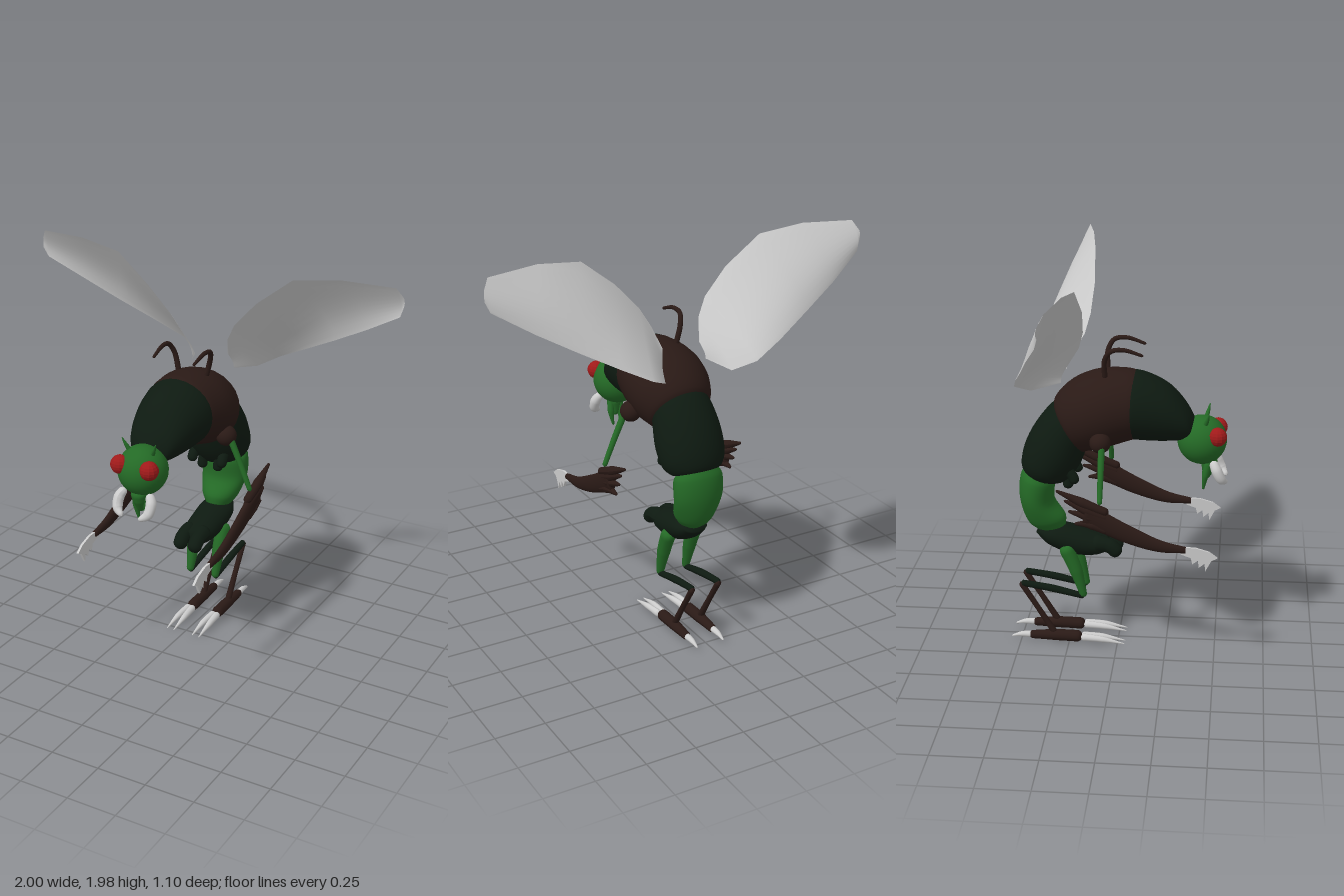
import * as THREE from 'three';

const GREEN = 0x246a26, DARK = 0x0e1a11, BROWN = 0x2a1a16, RED = 0xa01a1a, PALE = 0xcccccc;
const mat = (color, extra = {}) => new THREE.MeshStandardMaterial({ color, ...extra });

function add(parent, name, geometry, color, extra) {
  const mesh = new THREE.Mesh(geometry, mat(color, extra));
  mesh.name = name;
  parent.add(mesh);
  return mesh;
}

// Closed elliptical loft; each ring is [outer z, outer y, inner z, inner y, half width]
function loft(rings, x = 0, steps = 20, sides = 28) {
  const curve = (f) => new THREE.CatmullRomCurve3(rings.map(f));
  const outer = curve((r) => new THREE.Vector3(0, r[1], r[0]));
  const inner = curve((r) => new THREE.Vector3(0, r[3], r[2]));
  const width = curve((r, i) => new THREE.Vector3(r[4], i, 0));
  const pos = [], idx = [];
  for (let i = -1; i <= steps + 1; i++) {
    const t = Math.min(1, Math.max(0, i / steps));
    const o = outer.getPoint(t), n = inner.getPoint(t);
    const k = i < 0 || i > steps ? 0 : 1;
    const c = o.clone().add(n).multiplyScalar(0.5), u = o.sub(n).multiplyScalar(0.5 * k);
    const w = width.getPoint(t).x * k;
    for (let j = 0; j < sides; j++) {
      const a = (j / sides) * Math.PI * 2;
      pos.push(x + w * Math.cos(a), c.y + u.y * Math.sin(a), c.z + u.z * Math.sin(a));
    }
  }
  for (let i = 0; i < steps + 2; i++) {
    for (let j = 0; j < sides; j++) {
      const a = i * sides + j, b = i * sides + ((j + 1) % sides);
      idx.push(a, a + sides, b, b, a + sides, b + sides);
    }
  }
  const g = new THREE.BufferGeometry();
  g.setAttribute('position', new THREE.Float32BufferAttribute(pos, 3));
  g.setIndex(idx);
  g.computeVertexNormals();
  return g;
}

// Round-ended tube through points, its radius running through a list of values
function limb(points, radii, steps = 28, sides = 12) {
  const path = new THREE.CatmullRomCurve3(points.map((p) => new THREE.Vector3(...p)));
  const g = new THREE.TubeGeometry(path, steps, 1, sides, false);
  const p = g.attributes.position, v = new THREE.Vector3(), length = path.getLength();
  for (let i = 0; i <= steps; i++) {
    const t = i / steps, c = path.getPointAt(t);
    const f = t * (radii.length - 1), k = Math.min(Math.floor(f), radii.length - 2);
    const r = THREE.MathUtils.lerp(radii[k], radii[k + 1], f - k);
    const end = Math.min(1, (Math.min(t, 1 - t) * length) / Math.max(r, 1e-4));
    const s = r * Math.sqrt(1 - (1 - end) ** 2);
    for (let j = 0; j <= sides; j++) {
      const n = i * (sides + 1) + j;
      v.fromBufferAttribute(p, n).sub(c).multiplyScalar(s).add(c);
      p.setXYZ(n, v.x, v.y, v.z);
    }
  }
  g.computeVertexNormals();
  return g;
}

const ball = (r, x, y, z, w = 24, h = 18) => new THREE.SphereGeometry(r, w, h).translate(x, y, z);

// Cupped wing: matching points along the upper and lower edges, bowed backwards between
function wing(s) {
  const upper = [[0.1, 1.5, -0.24], [0.13, 1.6, -0.18], [0.18, 1.69, -0.155], [0.3, 1.82, -0.145],
    [0.48, 1.96, -0.16], [0.71, 1.99, -0.19], [0.97, 1.98, -0.235], [1, 1.93, -0.26]];
  const lower = [[0.12, 1.42, -0.27], [0.18, 1.395, -0.41], [0.28, 1.445, -0.475], [0.43, 1.52, -0.445],
    [0.62, 1.62, -0.39], [0.8, 1.72, -0.34], [0.98, 1.83, -0.275], [1, 1.88, -0.26]];
  const across = 10, pos = [], idx = [];
  upper.forEach((a, i) => {
    const b = lower[i], chord = Math.hypot(a[1] - b[1], a[2] - b[2]);
    for (let j = 0; j <= across; j++) {
      const t = j / across, bow = 0.12 * chord * Math.sin(Math.PI * t);
      const [x, y, z] = a.map((q, k) => q + (b[k] - q) * t);
      pos.push(s * (x + bow * 0.4), y - bow * 0.5, z - bow);
    }
  });
  for (let i = 0; i < upper.length - 1; i++) {
    for (let j = 0; j < across; j++) {
      const a = i * (across + 1) + j, c = a + across + 1;
      if (s > 0) idx.push(a, a + 1, c, a + 1, c + 1, c);
      else idx.push(a, c, a + 1, a + 1, c, c + 1);
    }
  }
  const g = new THREE.BufferGeometry();
  g.setAttribute('position', new THREE.Float32BufferAttribute(pos, 3));
  g.setIndex(idx);
  g.computeVertexNormals();
  return g;
}

// Thin toothed claw, drawn in the z-y plane
function blade(x) {
  const outline = [[0.33, 0.665], [0.4, 0.665], [0.47, 0.645], [0.51, 0.615], [0.48, 0.6], [0.452, 0.545],
    [0.447, 0.585], [0.42, 0.562], [0.415, 0.6], [0.388, 0.58], [0.38, 0.612], [0.33, 0.63]];
  const shape = new THREE.Shape(outline.map((p) => new THREE.Vector2(...p)));
  return new THREE.ExtrudeGeometry(shape, { depth: 0.012, bevelEnabled: false })
    .translate(0, 0, -0.006).rotateY(-Math.PI / 2).translate(x, 0, 0);
}

export function createModel() {
  const model = new THREE.Group();
  model.name = 'insect';

  // Curved body, from neck to hips
  add(model, 'frontThorax', loft([[0.385, 1.21, 0.385, 1.14, 0.04], [0.33, 1.3, 0.36, 1.12, 0.11],
    [0.24, 1.395, 0.24, 1.105, 0.155], [0.09, 1.455, 0.08, 1.11, 0.185], [0.02, 1.44, 0.02, 1.12, 0.17]]), DARK);
  add(model, 'thorax', loft([[0.1, 1.45, 0.1, 1.115, 0.175], [0.05, 1.462, 0.05, 1.1, 0.19],
    [-0.1, 1.455, -0.04, 1.07, 0.21], [-0.23, 1.4, -0.11, 1.05, 0.2], [-0.315, 1.31, -0.155, 1.04, 0.165],
    [-0.32, 1.25, -0.17, 1.03, 0.13]]), BROWN);
  add(model, 'upperAbdomen', loft([[-0.28, 1.31, -0.15, 1.08, 0.14], [-0.34, 1.27, -0.16, 1.05, 0.155],
    [-0.43, 1.15, -0.2, 0.95, 0.17], [-0.48, 1.03, -0.26, 0.88, 0.16], [-0.485, 0.95, -0.31, 0.87, 0.125],
    [-0.46, 0.92, -0.34, 0.88, 0.08]]), DARK);
  add(model, 'lowerAbdomen', loft([[-0.47, 0.95, -0.34, 0.9, 0.1], [-0.495, 0.9, -0.325, 0.86, 0.128],
    [-0.5, 0.78, -0.325, 0.76, 0.125], [-0.46, 0.65, -0.27, 0.68, 0.095], [-0.4, 0.6, -0.27, 0.63, 0.06]]), GREEN);
  add(model, 'hips', loft([[-0.42, 0.59, -0.38, 0.63, 0.06], [-0.36, 0.53, -0.31, 0.64, 0.09],
    [-0.24, 0.48, -0.2, 0.62, 0.09], [-0.12, 0.475, -0.11, 0.59, 0.078], [-0.04, 0.5, -0.05, 0.57, 0.05]]), DARK);

  // Head
  const head = new THREE.Group();
  head.name = 'head';
  model.add(head);
  add(head, 'skull', ball(0.123, 0, 1.11, 0.415, 32, 24), GREEN);
  add(head, 'snout', limb([[0, 1.03, 0.46], [0, 0.97, 0.45], [0, 0.9, 0.435]], [0.045, 0.035, 0.012]), GREEN);

  for (const s of [-1, 1]) {
    const side = s > 0 ? 'left' : 'right';
    const part = (name, geometry, color, extra) => add(model, side + name, geometry, color, extra);

    // Face
    part('Eye', ball(0.047, s * 0.08, 1.15, 0.492, 12, 10), RED, { flatShading: true });
    part('Feeler', limb([[s * 0.06, 1.2, 0.43], [s * 0.075, 1.23, 0.44], [s * 0.093, 1.27, 0.45]], [0.013, 0.009, 0.002]), GREEN);
    part('Mandible', limb([[s * 0.065, 1.02, 0.47], [s * 0.088, 0.98, 0.49], [s * 0.083, 0.93, 0.515],
      [s * 0.045, 0.905, 0.54]], [0.02, 0.027, 0.025, 0.01]), PALE);
    part('Palp', limb([[s * 0.02, 1, 0.45], [s * 0.028, 0.93, 0.435], [s * 0.02, 0.85, 0.425]], [0.02, 0.017, 0.005]), GREEN);

    // Wing and back hook
    part('Wing', wing(s), PALE, { side: THREE.DoubleSide });
    part('BackHook', limb([[s * 0.075, 1.43, -0.06], [s * 0.1, 1.53, -0.06], [s * 0.115, 1.58, -0.03],
      [s * 0.115, 1.59, 0.03], [s * 0.11, 1.56, 0.13]], [0.014, 0.013, 0.012, 0.01, 0.007], 40), BROWN);

    // Arm
    part('Shoulder', ball(0.052, s * 0.185, 1.14, -0.075), BROWN);
    part('UpperArm', limb([[s * 0.21, 1.14, -0.065], [s * 0.27, 1.01, -0.065], [s * 0.33, 0.87, -0.065]], [0.017, 0.015, 0.012]), GREEN);
    part('Forearm', loft([[0.355, 0.667, 0.355, 0.635, 0.014], [0.24, 0.695, 0.22, 0.638, 0.019],
      [0.1, 0.76, 0.06, 0.68, 0.022], [-0.02, 0.825, -0.06, 0.73, 0.024], [-0.12, 0.89, -0.15, 0.775, 0.022]], s * 0.328), BROWN);
    [[-0.28, 0.94, 0.88], [-0.24, 0.89, 0.85], [-0.22, 0.835, 0.82], [-0.19, 0.77, 0.785]].forEach(([z, y, root], i) =>
      part('ForearmSpine' + (i + 1), limb([[s * 0.328, root - 0.05, -0.02], [s * 0.328, root - 0.015, -0.11],
        [s * 0.325, y, z]], [0.02, 0.024, 0.006]), BROWN));
    part('Claw', blade(s * 0.328), PALE);

    // Stubs under the abdomen and at the front of the hips
    part('BellyStub', limb([[s * 0.045, 0.95, -0.27], [s * 0.045, 0.9, -0.25], [s * 0.045, 0.845, -0.252]], [0.03, 0.022, 0.03]), DARK);
    part('OuterBellyStub', limb([[s * 0.08, 0.97, -0.26], [s * 0.085, 0.92, -0.22], [s * 0.085, 0.885, -0.21]], [0.03, 0.026, 0.026]), DARK);
    part('HipStub', limb([[s * 0.035, 0.55, -0.14], [s * 0.042, 0.535, -0.04], [s * 0.04, 0.485, 0.008]], [0.05, 0.038, 0.036]), DARK);

    // Leg and foot
    const x = s * 0.075;
    part('Thigh', limb([[x, 0.55, -0.27], [x, 0.42, -0.215], [x, 0.26, -0.17]], [0.04, 0.034, 0.017]), GREEN);
    part('Shank', limb([[x, 0.265, -0.165], [x, 0.305, -0.34], [x, 0.33, -0.5]], [0.015, 0.019, 0.016]), DARK);
    part('Ankle', limb([[x, 0.335, -0.5], [x, 0.2, -0.415], [x, 0.045, -0.32]], [0.015, 0.014, 0.017]), BROWN);
    part('Foot', limb([[x, 0.037, -0.18], [x, 0.04, -0.32], [x, 0.037, -0.46]], [0.03, 0.029, 0.02]), BROWN);
    for (const t of [-1, 1]) {
      part(t < 0 ? 'InnerToe' : 'OuterToe', limb([[x + t * 0.01, 0.037, -0.19], [x + t * 0.018, 0.032, -0.08],
        [x + t * 0.02, 0.012, 0.04]], [0.02, 0.015, 0.002]), PALE);
    }
    part('HeelClaw', limb([[x, 0.038, -0.44], [x, 0.037, -0.5], [x, 0.025, -0.55]], [0.018, 0.014, 0.004]), PALE);
  }
  return model;
}
